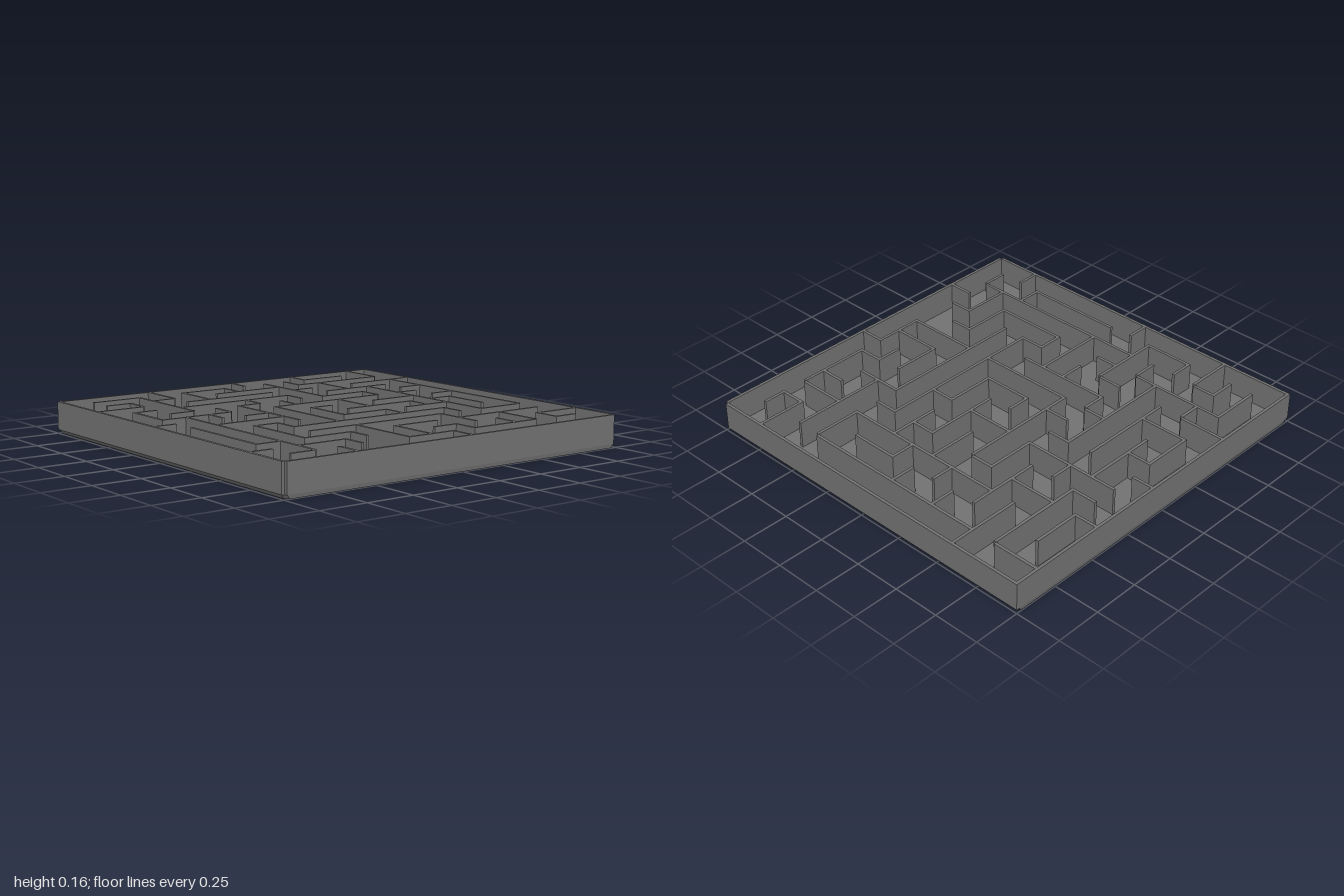
import * as THREE from 'three';

const CELLS = 15, T = 0.016, FLOOR = 0.02, TOP = 0.165, CUT = 0.018;
const at = (i) => (i / CELLS - 0.5) * (2 - T); // centre of grid line i

// Wall runs on each inner grid line, as start-end grid indices
const ROWS = [ // along x, from back to front
  '0-2 3-11', '8-10 13-14', '4-11 12-14', '0-1 2-4 5-6 8-9 10-11 13-14',
  '1-2 11-13', '1-5 6-8 9-10 13-14', '0-1 4-5 14-15', '1-2 5-6 7-9 12-14',
  '4-5 6-10 11-14', '1-3 5-9 12-13', '0-2 5-6 9-10 13-14',
  '1-5 6-7 9-12 14-15', '2-3 6-14', '4-6 8-12',
];
const COLS = [ // along z, from -x to +x
  '2-4 8-10 12-14', '1-5 6-9 11-12 13-14', '0-3 5-6 7-11 13-15',
  '2-5 7-12 13-14', '1-2 4-6 9-10 12-13', '2-3 4-9 11-14',
  '1-2 3-5 7-8 10-11 14-15', '2-3 4-7 10-13', '3-5 6-8 11-12', '4-11',
  '1-3 5-11', '1-5 6-8 10-12 13-14', '0-2 6-7 11-13 14-15',
  '1-2 3-6 7-9 13-14',
];

// Square plate with cut corners
function plate() {
  const c = 1 - CUT;
  const p = [[c, -1], [1, -c], [1, c], [c, 1], [-c, 1], [-1, c], [-1, -c], [-c, -1]];
  const shape = new THREE.Shape(p.map(([x, y]) => new THREE.Vector2(x, y)));
  const g = new THREE.ExtrudeGeometry(shape, { depth: FLOOR, bevelEnabled: false });
  return g.rotateX(-Math.PI / 2);
}

export function createModel() {
  const model = new THREE.Group();
  model.name = 'mazeTray';
  const mat = new THREE.MeshStandardMaterial({ color: 0x727272, flatShading: true });
  const add = (name, geo, parent) => {
    const m = new THREE.Mesh(geo, mat);
    m.name = name;
    parent.add(m);
    return m;
  };

  // Floor plate, its underside drawn in slightly
  const floor = plate();
  const pos = floor.attributes.position;
  for (let i = 0; i < pos.count; i++) {
    if (pos.getY(i) < FLOOR / 2) {
      pos.setX(i, pos.getX(i) * 0.997);
      pos.setZ(i, pos.getZ(i) * 0.985);
    }
  }
  floor.computeVertexNormals();
  add('floor', floor, model);

  // One upright wall from min to max corner in plan
  const wall = (name, parent, x0, x1, z0, z1) => {
    const geo = new THREE.BoxGeometry(x1 - x0, TOP - FLOOR, z1 - z0);
    add(name, geo, parent).position.set((x0 + x1) / 2, (TOP + FLOOR) / 2, (z0 + z1) / 2);
  };

  // Outer rim, notched at the two +x corners
  const rim = new THREE.Group();
  rim.name = 'outerWalls';
  model.add(rim);
  const inner = 1 - T;
  wall('backWall', rim, -1, inner, -1, -inner);
  wall('frontWall', rim, -1, inner, inner, 1);
  wall('rightWall', rim, -1, -inner, -inner, inner);
  wall('leftWall', rim, inner, 1, -inner, inner);

  // Inner maze walls: crosswise runs stop at the face of the wall they meet
  const maze = new THREE.Group();
  maze.name = 'mazeWalls';
  model.add(maze);
  const h = T / 2;
  const runs = (spec) => spec.split(' ').map((s) => s.split('-').map((n) => at(Number(n))));
  ROWS.forEach((spec, i) => {
    const z = at(i + 1);
    for (const [a, b] of runs(spec)) wall('crossWall', maze, a - h, b - h, z - h, z + h);
  });
  COLS.forEach((spec, i) => {
    const x = at(i + 1);
    for (const [a, b] of runs(spec)) wall('lengthWall', maze, x - h, x + h, a + h, b + h);
  });

  return model;
}
